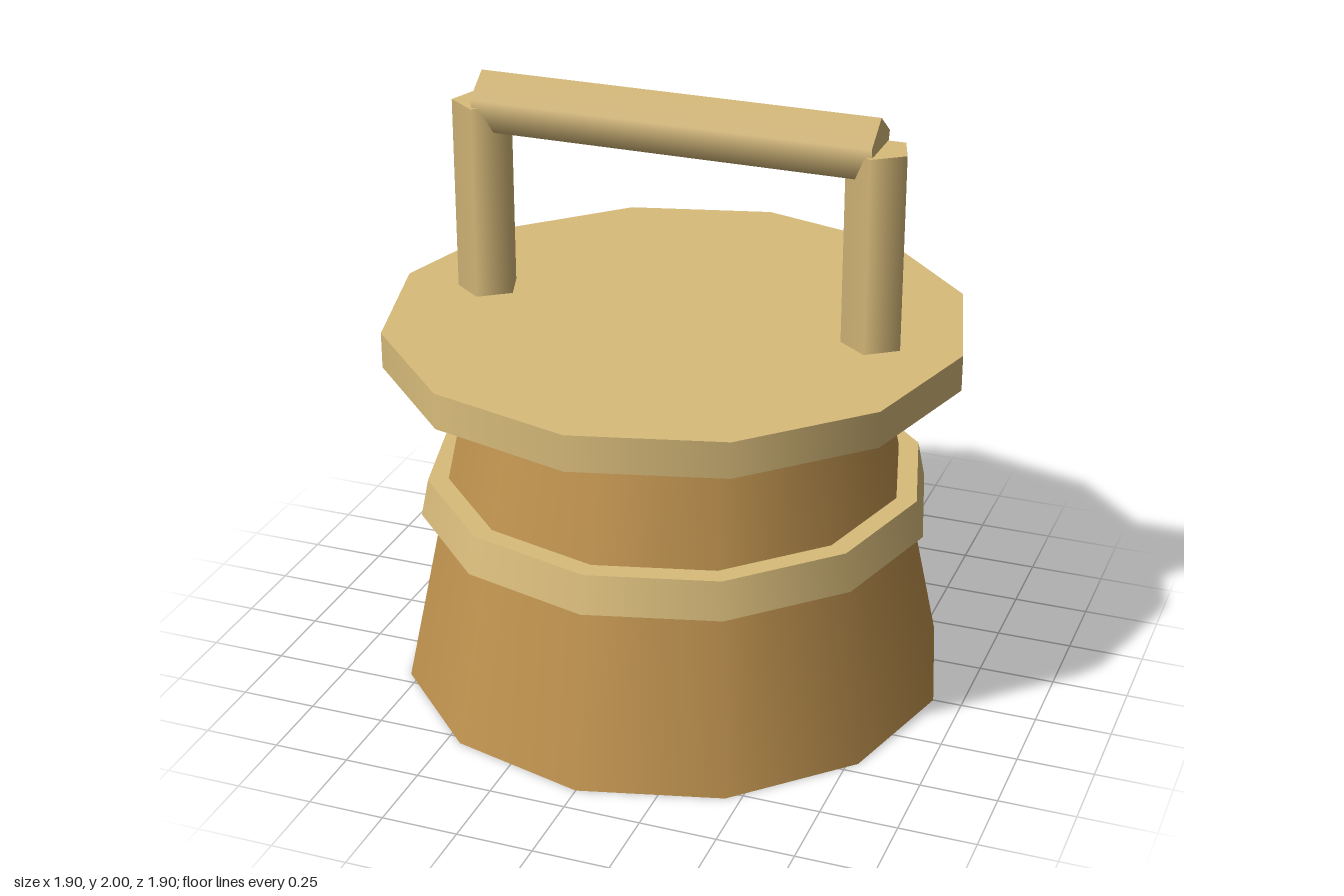
import * as THREE from 'three';

const paleWood = new THREE.MeshStandardMaterial({ color: 0xd9bc7b });
paleWood.name = 'pale wood';
const brownWood = new THREE.MeshStandardMaterial({ color: 0xc0934f });
brownWood.name = 'brown wood';

// Upright tapered prism between two heights; one corner points to +z
function prism(name, rTop, rBottom, y0, y1, sides, material) {
  const geometry = new THREE.CylinderGeometry(rTop, rBottom, y1 - y0, sides);
  geometry.translate(0, (y0 + y1) / 2, 0);
  const mesh = new THREE.Mesh(geometry, material);
  mesh.name = name;
  return mesh;
}

export function createModel() {
  const model = new THREE.Group();
  model.name = 'bucket';

  // Twelve-sided bucket with its band and lid
  model.add(prism('body', 0.665, 0.905, 0, 1.14, 12, brownWood));
  model.add(prism('band', 0.82, 0.845, 0.6, 0.725, 12, paleWood));
  model.add(prism('lid', 0.948, 0.948, 1.138, 1.257, 12, paleWood));

  // Five-sided handle posts
  const handle = new THREE.Group();
  handle.name = 'handle';
  for (const side of [-1, 1]) {
    const post = prism(side > 0 ? 'leftPost' : 'rightPost', 0.102, 0.102, 1.25, 1.9, 5, paleWood);
    post.position.x = side * 0.657;
    handle.add(post);
  }

  // Five-sided crossbar with a ridge on top
  const barGeometry = new THREE.CylinderGeometry(0.102, 0.102, 1.32, 5);
  barGeometry.rotateZ(Math.PI / 2).rotateX(-Math.PI / 2);
  const bar = new THREE.Mesh(barGeometry, paleWood);
  bar.name = 'crossbar';
  bar.position.y = 1.898;
  handle.add(bar);

  model.add(handle);
  return model;
}
